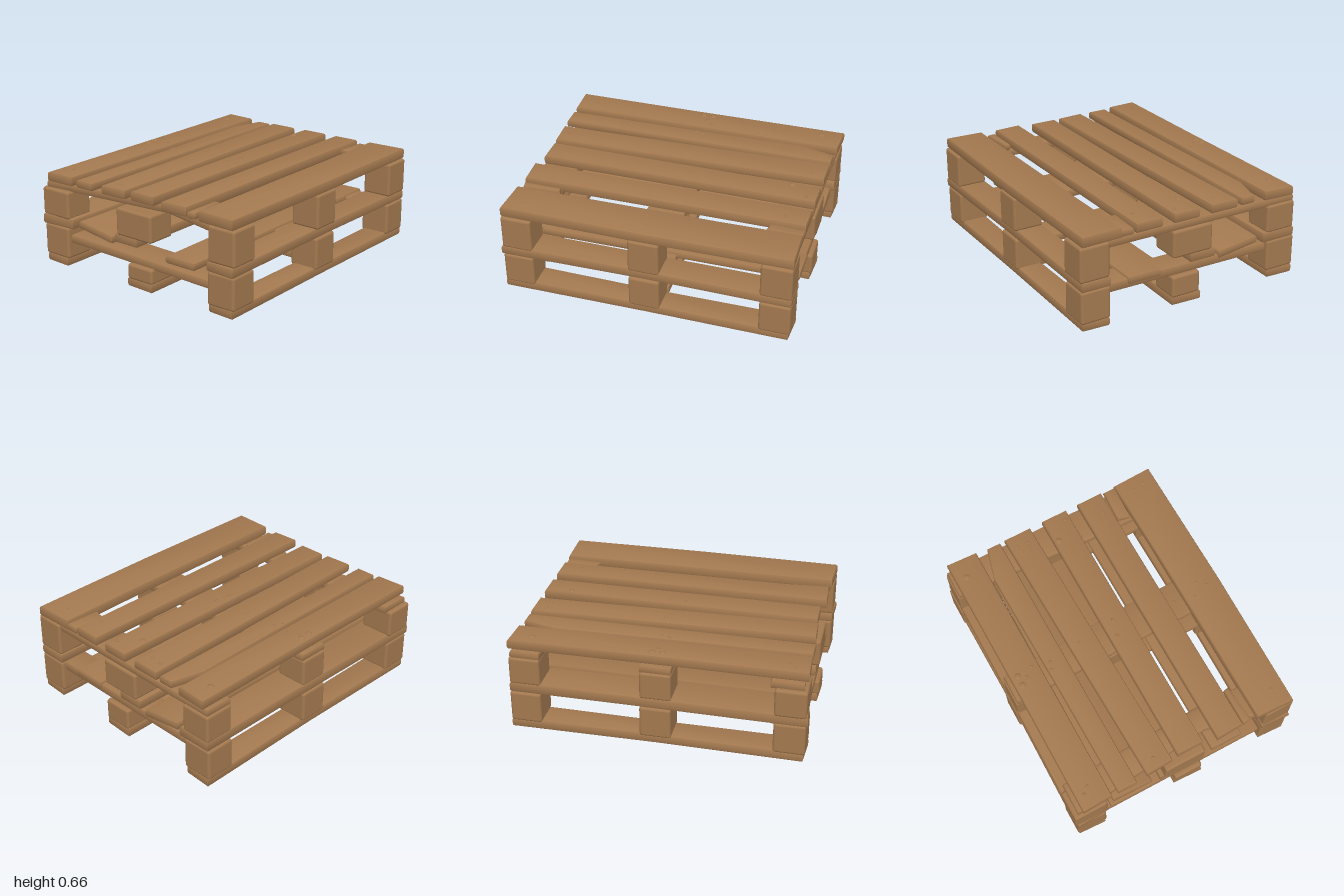
import * as THREE from 'three';
import { toCreasedNormals } from 'three/addons/utils/BufferGeometryUtils.js';
import { RoundedBoxGeometry } from 'three/addons/geometries/RoundedBoxGeometry.js';

const wood = new THREE.MeshStandardMaterial({ color: 0xa2784f });
wood.name = 'weathered wood';

// Worn plank from an outline of [x, z] points, between heights y0 and y1, optionally tilted
function plank(name, outline, y0, y1, slopeX = 0, slopeZ = 0) {
  const b = 0.016;
  const shape = new THREE.Shape(outline.map(([x, z]) => new THREE.Vector2(x, z)));
  let g = new THREE.ExtrudeGeometry(shape, {
    depth: y1 - y0 - 2 * b, bevelThickness: b, bevelSize: b, bevelOffset: -b, bevelSegments: 2,
  });
  g.rotateX(Math.PI / 2);
  g.translate(0, y1 - b, 0);
  g.computeBoundingBox();
  const c = g.boundingBox.getCenter(new THREE.Vector3());
  const p = g.attributes.position;
  for (let i = 0; i < p.count; i++) {
    p.setY(i, p.getY(i) + slopeX * (p.getX(i) - c.x) + slopeZ * (p.getZ(i) - c.z));
  }
  g = toCreasedNormals(g, 0.75);
  const mesh = new THREE.Mesh(g, wood);
  mesh.name = name;
  return mesh;
}

const rect = (x0, x1, z0, z1) => [[x0, z0], [x1, z0], [x1, z1], [x0, z1]];

function block(name, x0, x1, y0, y1, z0, z1) {
  const mesh = new THREE.Mesh(new RoundedBoxGeometry(x1 - x0, y1 - y0, z1 - z0, 3, 0.018), wood);
  mesh.position.set((x0 + x1) / 2, (y0 + y1) / 2, (z0 + z1) / 2);
  mesh.name = name;
  return mesh;
}

// Small domed nail heads, or larger flat knots, on a level surface
function studs(name, spots, y, r) {
  const group = new THREE.Group();
  group.name = name;
  const g = new THREE.SphereGeometry(r, 10, 6);
  for (const [x, z] of spots) {
    const mesh = new THREE.Mesh(g, wood);
    mesh.position.set(x, y, z);
    mesh.scale.y = 0.5;
    mesh.name = name;
    group.add(mesh);
  }
  return group;
}

export function createModel() {
  const model = new THREE.Group();
  model.name = 'stackedPallets';
  const upper = new THREE.Group();
  upper.name = 'upperPallet';
  const lower = new THREE.Group();
  lower.name = 'lowerPallet';
  model.add(upper, lower);

  // Top deck, back to front
  const deck = [
    [[[-0.99, -0.77], [-0.1, -0.77], [0.99, -0.78], [0.98, -0.56], [-0.98, -0.555]], 0.585, 0.655],
    [[[-0.98, -0.51], [-0.2, -0.52], [0.5, -0.535], [0.74, -0.54], [0.97, -0.48], [0.97, -0.38], [-0.98, -0.37]], 0.588, 0.646],
    [[[-0.97, -0.29], [0.1, -0.32], [0.97, -0.345], [0.97, -0.145], [-0.96, -0.095]], 0.585, 0.652],
    [[[-0.95, -0.05], [0.97, -0.05], [0.97, 0.14], [-0.95, 0.14]], 0.585, 0.655],
    [[[-0.98, 0.235], [0.97, 0.23], [0.97, 0.42], [0, 0.425], [-0.97, 0.43]], 0.585, 0.655],
    [[[-0.98, 0.54], [0.4, 0.535], [0.97, 0.525], [0.98, 0.81], [0, 0.82], [-0.99, 0.81]], 0.582, 0.658],
  ];
  for (const [outline, y0, y1] of deck) upper.add(plank('topBoard', outline, y0, y1));
  upper.add(plank('brokenBoardEnd', [[0.74, 0.43], [0.97, 0.44], [0.97, 0.53], [0.72, 0.52]], 0.585, 0.635));
  upper.add(plank('brokenBoardEnd', [[-0.97, 0.44], [-0.71, 0.44], [-0.7, 0.48], [-0.96, 0.5]], 0.58, 0.63));

  // Cross stringers under the top deck
  upper.add(
    plank('topStringer', [[-0.97, -0.8], [-0.75, -0.8], [-0.71, 0.2], [-0.72, 0.64], [-0.97, 0.64], [-0.87, 0.2]], 0.53, 0.586),
    plank('topStringer', [[-0.11, -0.8], [0.1, -0.8], [0.16, 0.2], [0.16, 0.64], [-0.1, 0.64]], 0.53, 0.586),
    plank('topStringer', [[0.77, -0.8], [0.97, -0.8], [0.96, 0.64], [0.71, 0.64], [0.72, 0.2]], 0.53, 0.586),
  );

  // Three by three spacer blocks in each pallet
  const columns = [[-0.99, -0.78], [-0.11, 0.1], [0.77, 0.98]];
  columns.forEach(([x0, x1], i) => {
    upper.add(
      block('upperFrontBlock', x0, x1, 0.345, 0.585, 0.615, 0.825),
      block('upperMiddleBlock', x0, x1, 0.345, 0.535, -0.15, 0.15),
      block('upperBackBlock', x0, x1, 0.345, 0.54, i === 0 ? -0.83 : -0.81, -0.59),
    );
    lower.add(
      block('lowerFrontBlock', x0, x1, 0.06, 0.285, 0.61, 0.82),
      block('lowerMiddleBlock', x0, x1, 0.065, i === 0 ? 0.17 : 0.215, -0.06, 0.15),
      block('lowerBackBlock', x0, x1, 0.065, 0.285, -0.82, -0.6),
    );
  });

  // Boards shared between the two pallets
  upper.add(
    plank('middleFrontBoard', [[-0.99, 0.61], [0.98, 0.61], [0.98, 0.815], [0, 0.805], [-1, 0.82]], 0.28, 0.35),
    plank('middleCentreBoard', rect(-0.97, 0.97, -0.18, 0.01), 0.28, 0.35),
    plank('middleBackBoard', [[-1, -0.82], [0.2, -0.81], [0.98, -0.81], [0.98, -0.56], [-0.98, -0.56]], 0.28, 0.355),
  );
  lower.add(
    plank('innerFrontBoard', [[-0.95, 0.24], [0.96, 0.23], [0.96, 0.47], [-0.95, 0.475]], 0.235, 0.29, 0.006),
    plank('innerBackBoard', [[-0.95, -0.53], [0.96, -0.52], [0.96, -0.22], [-0.95, -0.23]], 0.268, 0.325, 0, -0.14),
  );

  // Cross stringers of the lower pallet; one has sagged
  lower.add(
    plank('lowerStringer', rect(0.76, 0.95, -0.65, 0.65), 0.21, 0.275, 0, 0.01),
    plank('lowerStringer', rect(-0.11, 0.12, -0.65, 0.65), 0.21, 0.27),
    plank('saggingStringer', rect(-0.96, -0.73, -0.66, 0.66), 0.16, 0.22, 0, -0.02),
    plank('fallenPlank', rect(-0.03, 0.115, -0.05, 0.64), 0.07, 0.132, 0, -0.03),
  );

  // Ground runners
  for (const [z0, z1] of [[0.62, 0.81], [-0.065, 0.15], [-0.81, -0.615]]) {
    lower.add(plank('groundRunner', [[-0.98, z0], [0, z0 + 0.01], [0.98, z0], [0.97, z1], [0, z1 - 0.005], [-0.99, z1]], 0.007, 0.075));
    lower.add(studs('runnerNail', [[-0.91, z0 + 0.06], [-0.86, z0 + 0.13], [0.02, z0 + 0.1], [0.88, z0 + 0.07]], 0.008, 0.011));
  }

  // Nails and knots on the top deck
  upper.add(
    studs('topNail', [
      [-0.89, -0.71], [-0.85, -0.67], [0, -0.67], [0.05, -0.61], [-0.03, 0], [0.08, 0.03], [0.9, 0.1],
      [0.82, 0.36], [-0.04, 0.61], [0.05, 0.66], [0, 0.72], [-0.86, 0.72], [0.87, 0.64], [0.89, 0.72],
    ], 0.656, 0.012),
    studs('topNail', [[-0.03, -0.5], [0.02, -0.48]], 0.646, 0.012),
    studs('topNail', [[0.05, -0.25], [0.88, -0.29], [0.87, -0.21], [-0.89, -0.2]], 0.652, 0.012),
    studs('stringerNail', [[0.02, 0.48]], 0.587, 0.012),
    studs('knot', [[-0.04, -0.72], [0.03, -0.72], [0.84, -0.7], [0.78, -0.015]], 0.65, 0.026),
  );
  return model;
}
